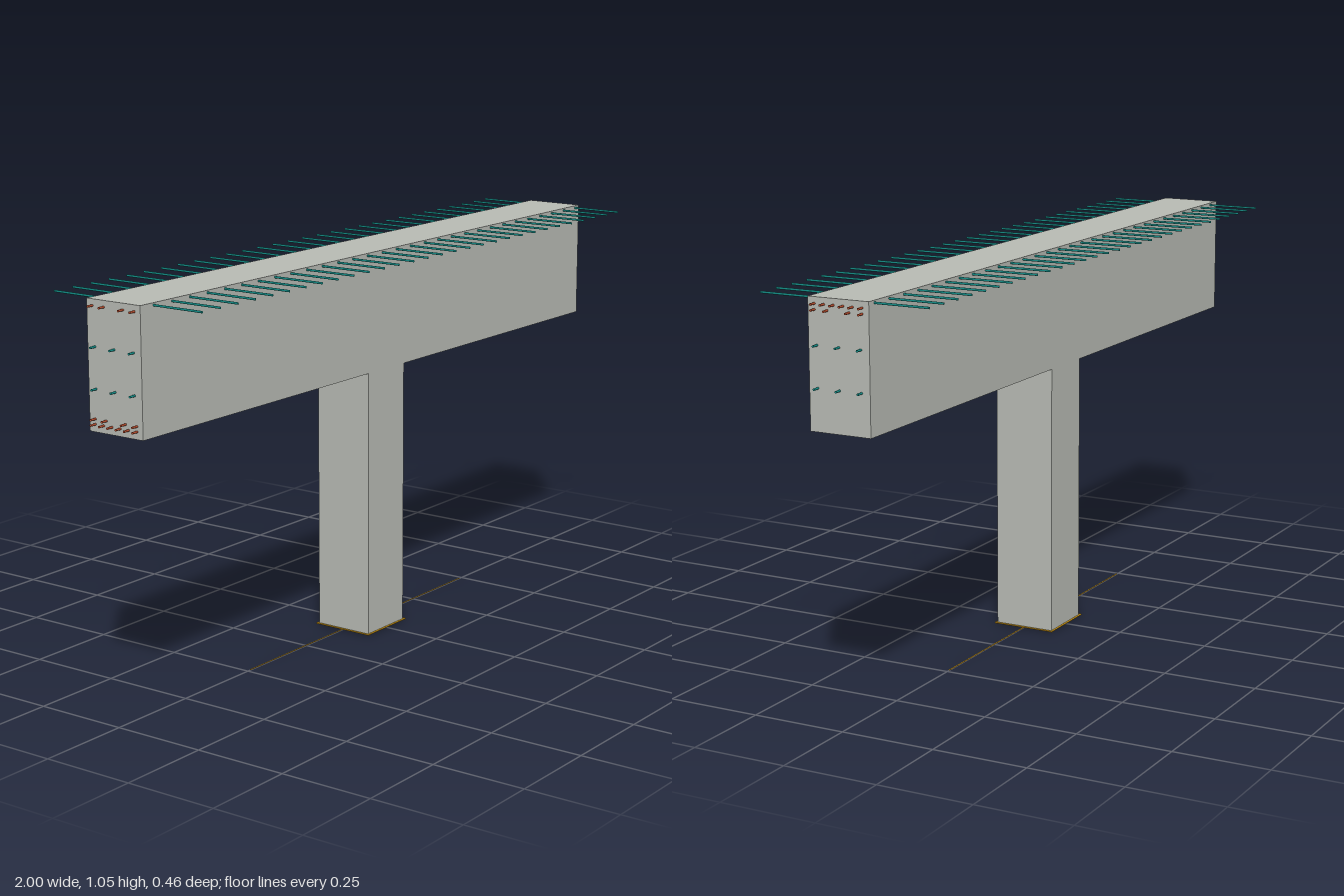
import * as THREE from 'three';

const material = (name, color) => {
  const m = new THREE.MeshStandardMaterial({ color });
  m.name = name;
  return m;
};

export function createModel() {
  const model = new THREE.Group();
  model.name = 'concretePier';
  const concrete = material('concrete grey', 0xb7bab3);
  const teal = material('teal steel', 0x128a84);
  const brown = material('red brown steel', 0xb04a2c);
  const ochre = material('ochre steel', 0xd29a14);
  [teal, brown, ochre].forEach((m) => { m.side = THREE.DoubleSide; });

  // T-shaped concrete body: column and cross beam in one piece
  const L = 0.982, W = 0.081, D = 0.083, low = 0.725, top = 1.046;
  const outline = new THREE.Shape([
    [-W, 0], [W, 0], [W, low], [L, low], [L, top], [-L, top], [-L, low], [-W, low],
  ].map(([x, y]) => new THREE.Vector2(x, y)));
  const bodyGeometry = new THREE.ExtrudeGeometry(outline, { depth: 2 * D, bevelEnabled: false });
  bodyGeometry.translate(0, 0, -D);
  const body = new THREE.Mesh(bodyGeometry, concrete);
  body.name = 'columnAndBeam';
  model.add(body);

  // Open-ended smooth bar along x or z, with its half width and half height
  const bar = (name, axis, length, halfWidth, halfHeight, mat, x, y, z) => {
    const g = new THREE.CylinderGeometry(1, 1, length, 48, 1, true);
    g.rotateX(Math.PI / 2);
    g.scale(halfWidth, halfHeight, 1);
    if (axis === 'x') g.rotateY(Math.PI / 2);
    const mesh = new THREE.Mesh(g, mat);
    mesh.name = name;
    mesh.position.set(x, y, z);
    model.add(mesh);
  };

  // Cross bars sticking out on both sides just under the beam top
  for (let i = 0; i < 30; i++) {
    bar('crossBar', 'z', 0.46, 0.0016, 0.0028, teal, -0.935 + i * 0.0653, 1.04, 0);
  }

  // Short bar tips on the beam ends: side, height, depths, material
  const six = [-0.065, -0.039, -0.013, 0.013, 0.039, 0.065];
  const four = [-0.065, -0.03, 0.03, 0.065];
  const three = [-0.06, 0, 0.06];
  [
    [1, 1.03, six, brown], [1, 1.016, four, brown],
    [1, 0.932, three, teal], [1, 0.83, three, teal],
    [-1, 1.03, four, brown], [-1, 0.932, three, teal], [-1, 0.83, three, teal],
    [-1, 0.757, four, brown], [-1, 0.744, six, brown],
  ].forEach(([side, y, depths, mat]) => {
    depths.forEach((z) => bar('barTip', 'x', 0.018, 0.0028, 0.0028, mat, side * 0.991, y, z));
  });

  // Thin hoop around the column foot
  for (const s of [-1, 1]) {
    bar('footHoop', 'x', 0.176, 0.0028, 0.002, ochre, 0, 0.002, s * 0.0855);
    bar('footHoop', 'z', 0.176, 0.0028, 0.002, ochre, s * 0.0855, 0.002, 0);
  }

  // Long flat bar running through the column foot
  bar('footBar', 'x', 0.98, 0.0025, 0.0006, ochre, 0, 0.001, 0);
  return model;
}
